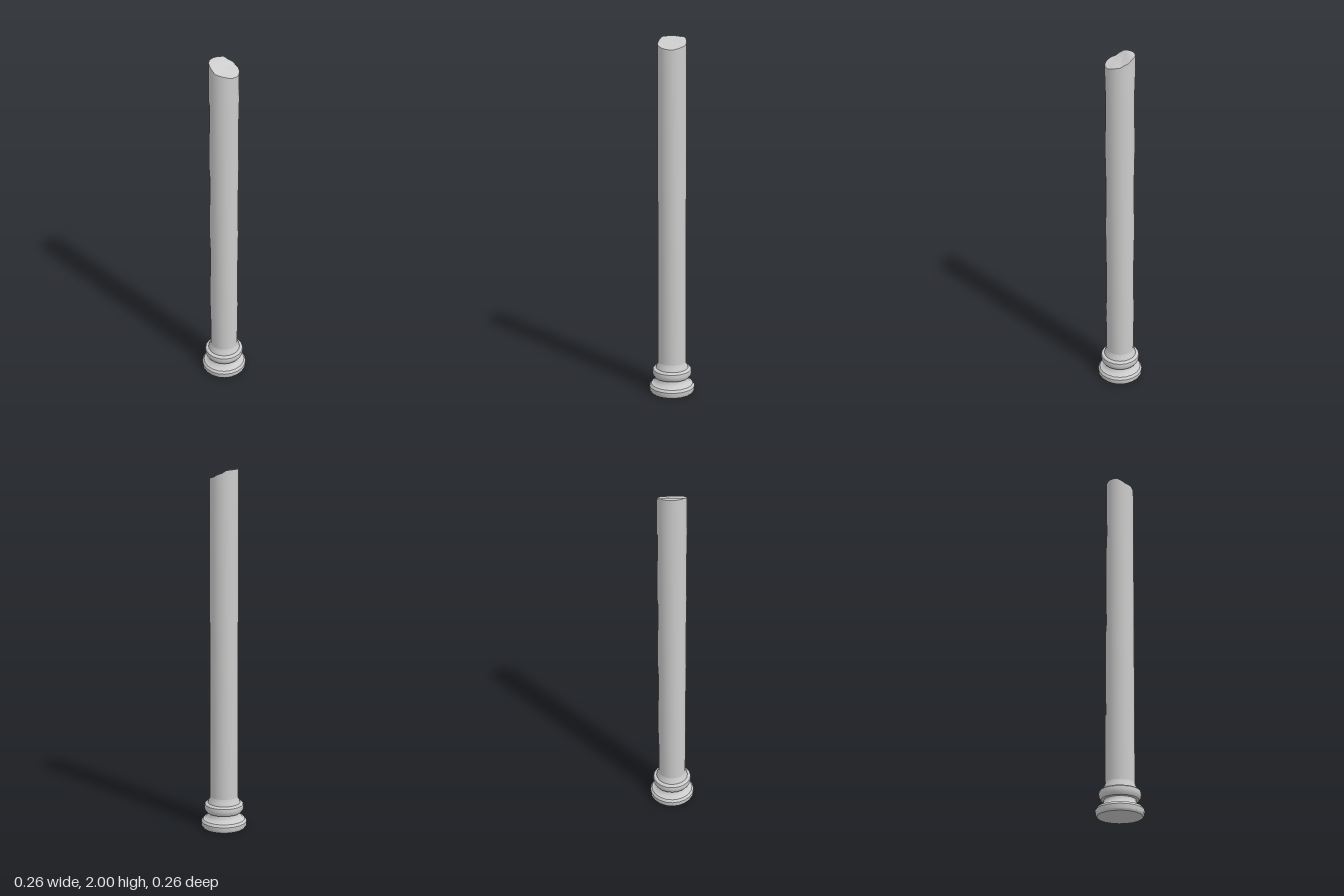
import * as THREE from 'three';
import { toCreasedNormals } from 'three/addons/utils/BufferGeometryUtils.js';

const SIDES = 20;
const material = new THREE.MeshStandardMaterial({ color: 0xcccccc });

function lathe(name, profile, shape) {
  const geo = new THREE.LatheGeometry(profile.map(([r, y]) => new THREE.Vector2(r, y)), SIDES);
  if (shape) shape(geo.attributes.position);
  const mesh = new THREE.Mesh(toCreasedNormals(geo, 0.6), material);
  mesh.name = name;
  return mesh;
}

// Height of the broken top: a slope falling towards +x with a few uneven steps
const BREAK = [[-0.08, 2], [-0.045, 1.998], [-0.02, 1.978], [0.01, 1.966], [0.04, 1.957], [0.08, 1.942]];
function breakHeight(x, z) {
  let i = 0;
  while (i < BREAK.length - 2 && x > BREAK[i + 1][0]) i++;
  const [x0, y0] = BREAK[i], [x1, y1] = BREAK[i + 1];
  const t = THREE.MathUtils.clamp((x - x0) / (x1 - x0), 0, 1);
  const chip = 0.003 * Math.sin(z * 60 + x * 90) * Math.abs(z) / 0.08;
  return Math.min(2, y0 + (y1 - y0) * t + chip);
}

export function createModel() {
  const model = new THREE.Group();
  model.name = 'brokenColumn';

  // Moulded base: lower torus, hollow, upper torus, fillet
  model.add(lathe('base', [
    [0, 0], [0.12, 0], [0.127, 0.01], [0.128, 0.034], [0.118, 0.048],
    [0.108, 0.05], [0.094, 0.062], [0.085, 0.078], [0.085, 0.088],
    [0.1, 0.09], [0.108, 0.102], [0.111, 0.118], [0.109, 0.134], [0.102, 0.141],
    [0.091, 0.143], [0.089, 0.152], [0.082, 0.165], [0.079, 0.18],
  ]));

  // Shaft with its sloping broken top, moved by the height rule
  model.add(lathe('shaft', [
    [0.079, 0.18], [0.078, 2], [0.06, 2], [0.04, 2], [0.02, 2], [0, 2],
  ], (p) => {
    for (let i = 0; i < p.count; i++) {
      if (p.getY(i) > 1.9) p.setY(i, breakHeight(p.getX(i), p.getZ(i)));
    }
  }));

  return model;
}
